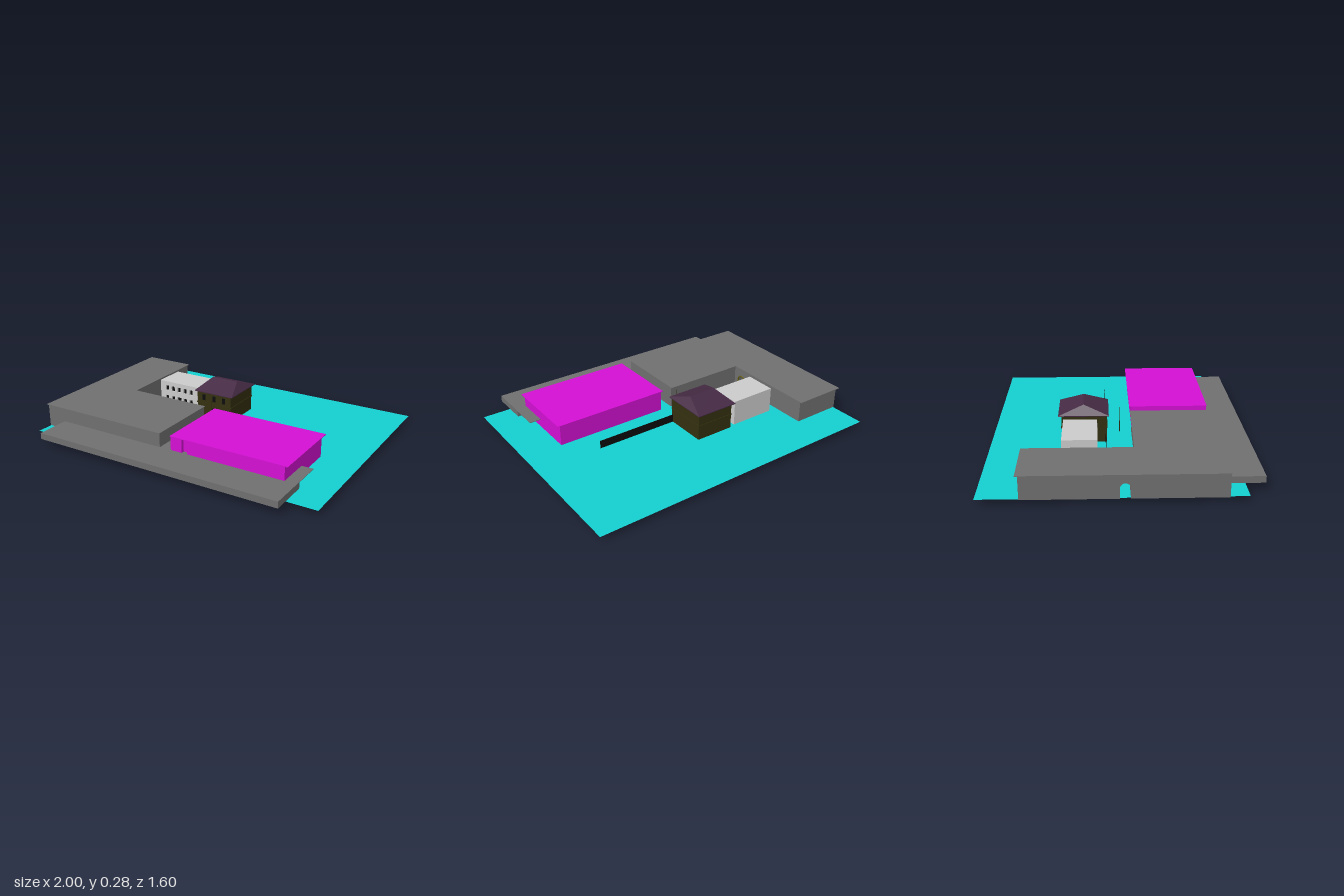
import * as THREE from 'three';
import { ConvexGeometry } from 'three/addons/geometries/ConvexGeometry.js';

const mat = (color) => new THREE.MeshStandardMaterial({ color, side: THREE.DoubleSide });
const GREY = mat(0x707070), PALE = mat(0xcccccc), TEAL = mat(0x14cfd0), MAGENTA = mat(0xd310d3);
const OLIVE = mat(0x33300f), PLUM = mat(0x452a44), BLACK = mat(0x0c0c0c), YELLOW = mat(0x6b6414);

export function createModel() {
  const model = new THREE.Group();
  const GROUND = 0.036, BASE = 0.033, EAVE = 0.179;

  const add = (name, geometry, material) => {
    const mesh = new THREE.Mesh(geometry, material);
    mesh.name = name;
    model.add(mesh);
    return mesh;
  };
  // box given by its limits
  const box = (name, material, x0, x1, y0, y1, z0, z1) => {
    const g = new THREE.BoxGeometry(x1 - x0, y1 - y0, z1 - z0);
    g.translate((x0 + x1) / 2, (y0 + y1) / 2, (z0 + z1) / 2);
    return add(name, g, material);
  };
  const shapeOf = (pts) => new THREE.Shape(pts.map(([a, b]) => new THREE.Vector2(a, b)));
  const extrude = (shape, depth) =>
    new THREE.ExtrudeGeometry(shape, { depth, bevelEnabled: false, curveSegments: 12 });
  // footprint of [x, z] points raised from y0 to y1
  const footprint = (name, material, pts, y0, y1) => {
    const g = extrude(shapeOf(pts.map(([x, z]) => [x, -z])), y1 - y0);
    g.rotateX(-Math.PI / 2).translate(0, y0, 0);
    return add(name, g, material);
  };
  // profile of [z, y] points swept from x0 to x1
  const sweepX = (name, material, pts, x0, x1) => {
    const g = extrude(shapeOf(pts.map(([z, y]) => [-z, y])), x1 - x0);
    g.rotateY(Math.PI / 2).translate(x0, 0, 0);
    return add(name, g, material);
  };
  // round-headed opening as [z, y] points, from foot to foot
  const arch = (zc, r, y0, ySpring) => {
    const pts = [[zc - r, y0]];
    for (let i = 0; i <= 12; i++) {
      const a = Math.PI - (i / 12) * Math.PI;
      pts.push([zc + r * Math.cos(a), ySpring + r * Math.sin(a)]);
    }
    pts.push([zc + r, y0]);
    return pts;
  };

  // ground sheet with an opening over the sunken stair
  const sheet = shapeOf([[-0.98, -0.69], [1, -0.69], [1, 0.8], [-0.98, 0.8]]);
  sheet.holes.push(shapeOf([[-0.09, -0.245], [-0.015, -0.245], [-0.015, -0.53], [-0.09, -0.53]]));
  add('ground', new THREE.ShapeGeometry(sheet).rotateX(-Math.PI / 2).translate(0, GROUND, 0), TEAL);

  // sunken stair between the two front buildings
  const flight = [[0.245, 0], [0.43, 0]];
  for (let i = 0; i < 6; i++) {
    const z = 0.44 + i * 0.016, y = (i + 1) * 0.006;
    flight.push([z, y - 0.006], [z, y]);
  }
  flight.push([0.54, 0.036]);
  const under = flight.slice().reverse().map(([z, y]) => [z, y + 0.003]);
  sweepX('stairFlight', GREY, [...flight, ...under], -0.09, -0.015);
  const cheek = [[0.245, 0], [0.44, 0], [0.53, GROUND], [0.245, GROUND]];
  for (const x of [-0.09, -0.018]) sweepX('stairSideWall', GREY, cheek, x, x + 0.003);
  box('stairEndWall', GREY, -0.09, -0.015, 0, GROUND, 0.245, 0.248);

  // front terrace: solid strip and the thin deck running back under the buildings
  box('terrace', GREY, -0.855, 0.82, 0.05, 0.09, 0.545, 0.8);
  box('terraceDeck', GREY, -0.855, 0.82, 0.088, 0.091, 0.362, 0.8);

  // L-shaped building: front block, side wing with an arched passage, flat roof
  box('frontBlock', GREY, -0.985, -0.092, BASE, EAVE, 0.085, 0.58);
  sweepX('sideWing', GREY,
    [[-0.56, BASE], ...arch(0.013, 0.03, BASE, 0.095), [0.085, BASE], [0.085, EAVE], [-0.56, EAVE]],
    -0.985, -0.655);
  footprint('lRoof', GREY,
    [[-1, -0.575], [-0.65, -0.575], [-0.65, 0.075], [-0.09, 0.075], [-0.09, 0.582], [-1, 0.582]],
    EAVE, 0.183);
  const frame = [...arch(0.013, 0.034, BASE, 0.095), ...arch(0.013, 0.029, BASE, 0.095).reverse()];
  sweepX('passageFrame', YELLOW, frame, -0.656, -0.648);

  // magenta hall with a narrow niche in its front wall, and its roof
  footprint('hallWalls', MAGENTA,
    [[-0.013, 0.09], [0.745, 0.09], [0.745, 0.578], [0.105, 0.578], [0.105, 0.555],
      [0.065, 0.555], [0.065, 0.578], [-0.013, 0.578]], BASE, EAVE);
  box('hallRoof', MAGENTA, -0.017, 0.765, EAVE, 0.183, 0.075, 0.582);

  // pale house: solid body with a pierced front wall
  box('houseBody', PALE, -0.595, -0.285, BASE, 0.205, -0.345, -0.147);
  box('houseWindowBacking', BLACK, -0.585, -0.295, 0.04, 0.195, -0.147, -0.146);
  const front = shapeOf([[-0.595, BASE], [-0.285, BASE], [-0.285, 0.205], [-0.595, 0.205]]);
  const opening = (x, y, w, h) =>
    front.holes.push(shapeOf([[x - w, y - h], [x + w, y - h], [x + w, y + h], [x - w, y + h]]));
  for (let i = 0; i < 5; i++) {
    const x = -0.54 + i * 0.05;
    opening(x, 0.157, 0.013, 0.018);
    if (i === 2) opening(x, 0.07, 0.017, 0.032);
    else opening(x, 0.083, 0.013, 0.018);
  }
  add('houseFront', extrude(front, 0.012).translate(0, 0, -0.147), PALE);

  // dark tower with a string course, hipped roof, door and windows
  box('towerWalls', OLIVE, -0.245, 0.015, BASE, 0.217, -0.357, -0.075);
  box('towerBand', OLIVE, -0.249, 0.019, 0.132, 0.138, -0.361, -0.071);
  const hip = [];
  for (const x of [-0.26, 0.03]) for (const z of [-0.377, -0.063])
    for (const y of [0.213, 0.218]) hip.push(new THREE.Vector3(x, y, z));
  for (const x of [-0.21, -0.02]) hip.push(new THREE.Vector3(x, 0.275, -0.22));
  add('towerRoof', new ConvexGeometry(hip), PLUM);
  box('towerDoor', BLACK, -0.135, -0.095, BASE, 0.105, -0.076, -0.073);
  for (const x of [-0.195, -0.115, -0.04])
    box('towerWindow', BLACK, x - 0.012, x + 0.012, 0.155, 0.195, -0.076, -0.073);

  // low yard wall and flagpole
  box('yardWall', BLACK, -0.655, 0.565, BASE, 0.088, -0.083, -0.08);
  const pole = new THREE.CylinderGeometry(0.002, 0.003, 0.168, 8);
  add('flagpole', pole.translate(-0.082, 0.12, 0.008), OLIVE);

  return model;
}
